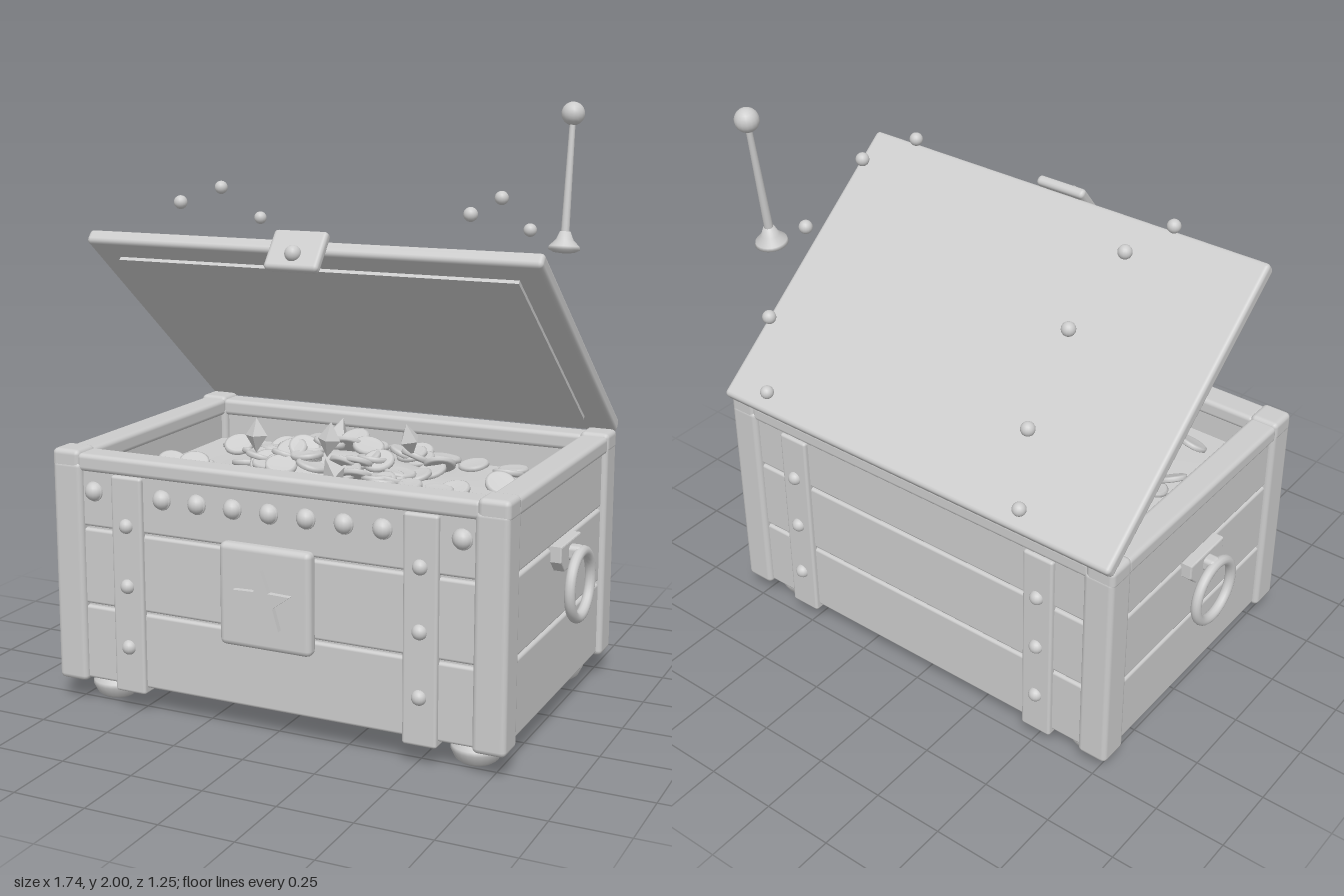
import * as THREE from 'three';
import { RoundedBoxGeometry } from 'three/addons/geometries/RoundedBoxGeometry.js';

const grey = new THREE.MeshStandardMaterial({ color: 0xcccccc });
grey.name = 'light grey';
const flatGrey = grey;

function add(parent, name, geo, x = 0, y = 0, z = 0) {
  const m = new THREE.Mesh(geo, grey);
  m.name = name;
  m.position.set(x, y, z);
  parent.add(m);
  return m;
}
const box = (w, h, d, r = 0.012) => new RoundedBoxGeometry(w, h, d, 2, Math.min(r, w / 2.1, h / 2.1, d / 2.1));
const ball = (r) => new THREE.SphereGeometry(r, 16, 12);
const lathe = (pts, n = 24) => new THREE.LatheGeometry(pts.map(([r, y]) => new THREE.Vector2(r, y)), n);

// small seeded generator for the coins
function seeded(seed) {
  return () => (seed = (seed * 16807) % 2147483647) / 2147483647;
}
const moundHeight = (x, z) => 0.72 + 0.11 * Math.exp(-(x * x) / 0.1 - ((z - 0.03) ** 2) / 0.07);

export function createModel() {
  const chest = new THREE.Group();
  chest.name = 'treasureChest';
  const zc = 0.033; // middle of the body in depth

  // floor and plank walls
  add(chest, 'floor', box(1.46, 0.05, 1.0), 0, 0.11, zc);
  for (const [y0, y1] of [[0.09, 0.346], [0.354, 0.614], [0.622, 0.83]]) {
    const h = y1 - y0, y = (y0 + y1) / 2;
    for (const s of [-1, 1]) {
      add(chest, 'longPlank', box(1.44, h, 0.07, 0.01), 0, y, zc + s * 0.49);
      add(chest, 'endPlank', box(0.07, h, 0.94, 0.01), s * 0.748, y, zc);
    }
  }
  // dark gap filler behind the grooves
  for (const s of [-1, 1]) {
    add(chest, 'longLiner', new THREE.BoxGeometry(1.42, 0.7, 0.05), 0, 0.46, zc + s * 0.485);
    add(chest, 'endLiner', new THREE.BoxGeometry(0.05, 0.7, 0.94), s * 0.743, 0.46, zc);
  }

  // rim, corner posts, caps, feet
  const foot = lathe([[0, 0], [0.055, 0], [0.07, 0.012], [0.085, 0.042], [0.083, 0.055], [0.066, 0.078], [0.05, 0.092], [0, 0.092]]);
  for (const s of [-1, 1]) {
    add(chest, 'longRim', box(1.42, 0.06, 0.1, 0.016), 0, 0.84, zc + s * 0.488);
    add(chest, 'endRim', box(0.1, 0.06, 0.9, 0.016), s * 0.75, 0.84, zc);
    for (const t of [-1, 1]) {
      add(chest, 'cornerPost', box(0.11, 0.76, 0.11, 0.018), s * 0.747, 0.46, zc + t * 0.489);
      add(chest, 'cornerCap', box(0.105, 0.07, 0.105, 0.018), s * 0.751, 0.845, zc + t * 0.49);
      add(chest, 'foot', foot, s * 0.66, 0, zc + t * 0.4);
    }
  }

  // metal straps round the front, bottom and back
  for (const x of [-0.52, 0.52]) {
    add(chest, 'bottomStrap', box(0.115, 0.025, 1.08, 0.008), x, 0.083, zc);
    for (const s of [-1, 1]) {
      add(chest, 'strap', box(0.115, 0.74, 0.03, 0.01), x, 0.44, zc + s * 0.527);
      for (const y of [0.23, 0.44, 0.645]) add(chest, 'strapRivet', ball(0.025), x, y, zc + s * 0.54);
    }
  }
  for (const x of [-0.65, -0.39, -0.26, -0.13, 0, 0.13, 0.26, 0.39, 0.65]) {
    add(chest, 'frontStud', ball(0.032), x, 0.745, 0.558);
    add(chest, 'studCollar', new THREE.TorusGeometry(0.027, 0.007, 6, 18), x, 0.745, 0.562);
  }

  // lock plate with raised star
  add(chest, 'lockPlate', box(0.325, 0.34, 0.05, 0.02), 0, 0.475, 0.577);
  const star = new THREE.Shape();
  for (let i = 0; i < 10; i++) {
    const r = i % 2 ? 0.043 : 0.105, a = Math.PI / 2 + i * Math.PI / 5;
    star[i ? 'lineTo' : 'moveTo'](r * Math.cos(a), r * Math.sin(a));
  }
  star.closePath();
  add(chest, 'star', new THREE.ExtrudeGeometry(star, { depth: 0.025, bevelEnabled: false }), 0, 0.47, 0.597);

  // ring handles
  const bracket = new THREE.Shape();
  bracket.moveTo(-0.095, 0.045);
  bracket.lineTo(0.095, 0.045);
  bracket.lineTo(0.095, 0);
  bracket.lineTo(0.06, -0.035);
  bracket.lineTo(-0.06, -0.035);
  bracket.lineTo(-0.095, 0);
  bracket.closePath();
  const bracketGeo = new THREE.ExtrudeGeometry(bracket, { depth: 0.035, bevelSize: 0.005, bevelThickness: 0.005, bevelSegments: 2 });
  for (const s of [-1, 1]) {
    const handle = new THREE.Group();
    handle.name = s > 0 ? 'leftHandle' : 'rightHandle';
    handle.position.set(s * 0.78, 0.48, zc);
    handle.rotation.y = s * Math.PI / 2;
    add(handle, 'bracket', bracketGeo, 0, 0.095, 0);
    add(handle, 'ring', new THREE.TorusGeometry(0.109, 0.018, 12, 40), 0, 0, 0.073);
    add(handle, 'ringHolder', box(0.05, 0.05, 0.07, 0.015), 0, 0.105, 0.045);
    chest.add(handle);
  }

  // open lid: its depth runs along the group's own z
  const lid = new THREE.Group();
  lid.name = 'lid';
  lid.position.set(0, 1.222, -0.1);
  lid.rotation.x = -38.5 * Math.PI / 180;
  add(lid, 'lidBoard', box(1.605, 0.05, 1.09, 0.015));
  add(lid, 'innerPanel', new THREE.BoxGeometry(1.42, 0.02, 0.89), 0, -0.027, 0.01);
  add(lid, 'clasp', box(0.19, 0.145, 0.035, 0.014), 0, -0.03, 0.56);
  add(lid, 'claspRivet', ball(0.027), 0, -0.05, 0.58);
  chest.add(lid);

  // loose rivets arching over the lid
  for (const x of [-0.52, 0.517])
    for (const [z, y] of [[0.19, 1.67], [-0.085, 1.7], [-0.37, 1.57], [-0.565, 1.325], [-0.605, 1.055]])
      add(chest, 'archRivet', ball(0.023), x, y, z);

  // leaning prop with a flared foot and ball top
  const prop = new THREE.Group();
  prop.name = 'prop';
  prop.position.set(0.62, 1.495, -0.425);
  prop.rotation.x = -0.135;
  add(prop, 'propFoot', lathe([[0, -0.005], [0.035, -0.002], [0.055, 0.008], [0.052, 0.02], [0.03, 0.042], [0.018, 0.07], [0, 0.07]]));
  add(prop, 'propRod', new THREE.CylinderGeometry(0.01, 0.015, 0.41, 12), 0, 0.26, 0);
  add(prop, 'propBall', ball(0.04), 0, 0.467, 0);
  chest.add(prop);

  // treasure mound
  const mound = new THREE.PlaneGeometry(1.44, 0.94, 36, 24).rotateX(-Math.PI / 2).translate(0, 0, zc);
  const p = mound.attributes.position;
  for (let i = 0; i < p.count; i++) p.setY(i, moundHeight(p.getX(i), p.getZ(i)));
  mound.computeVertexNormals();
  add(chest, 'treasureMound', mound);

  // scattered coins, denser in the middle
  const rnd = seeded(4217);
  const coin = lathe([[0, -0.01], [0.046, -0.01], [0.054, -0.006], [0.054, 0.006], [0.046, 0.01], [0.04, 0.007], [0, 0.007]], 20);
  for (let i = 0; i < 85; i++) {
    const spread = i < 45 ? 0.55 : 1;
    const x = (rnd() * 2 - 1) * 0.62 * spread;
    const z = zc + (rnd() * 2 - 1) * 0.38 * spread;
    const c = add(chest, 'coin', coin, x, moundHeight(x, z) + 0.012 + rnd() * 0.03, z);
    c.rotation.set((rnd() - 0.5) * 0.9, rnd() * 6, (rnd() - 0.5) * 0.9);
  }

  // faceted gems
  const gem = new THREE.OctahedronGeometry(0.06).scale(0.65, 1, 0.65);
  for (const [x, y, z, tilt] of [[-0.28, 0.88, 0.12, 0.15], [0.03, 0.91, 0.19, -0.1], [0.22, 0.88, -0.04, 0.2], [0.1, 0.83, 0.3, 0.4], [-0.1, 0.85, -0.15, -0.4]]) {
    const g = add(chest, 'gem', gem, x, y, z);
    g.rotation.set(tilt * 0.5, x * 5, tilt);
  }
  return chest;
}
